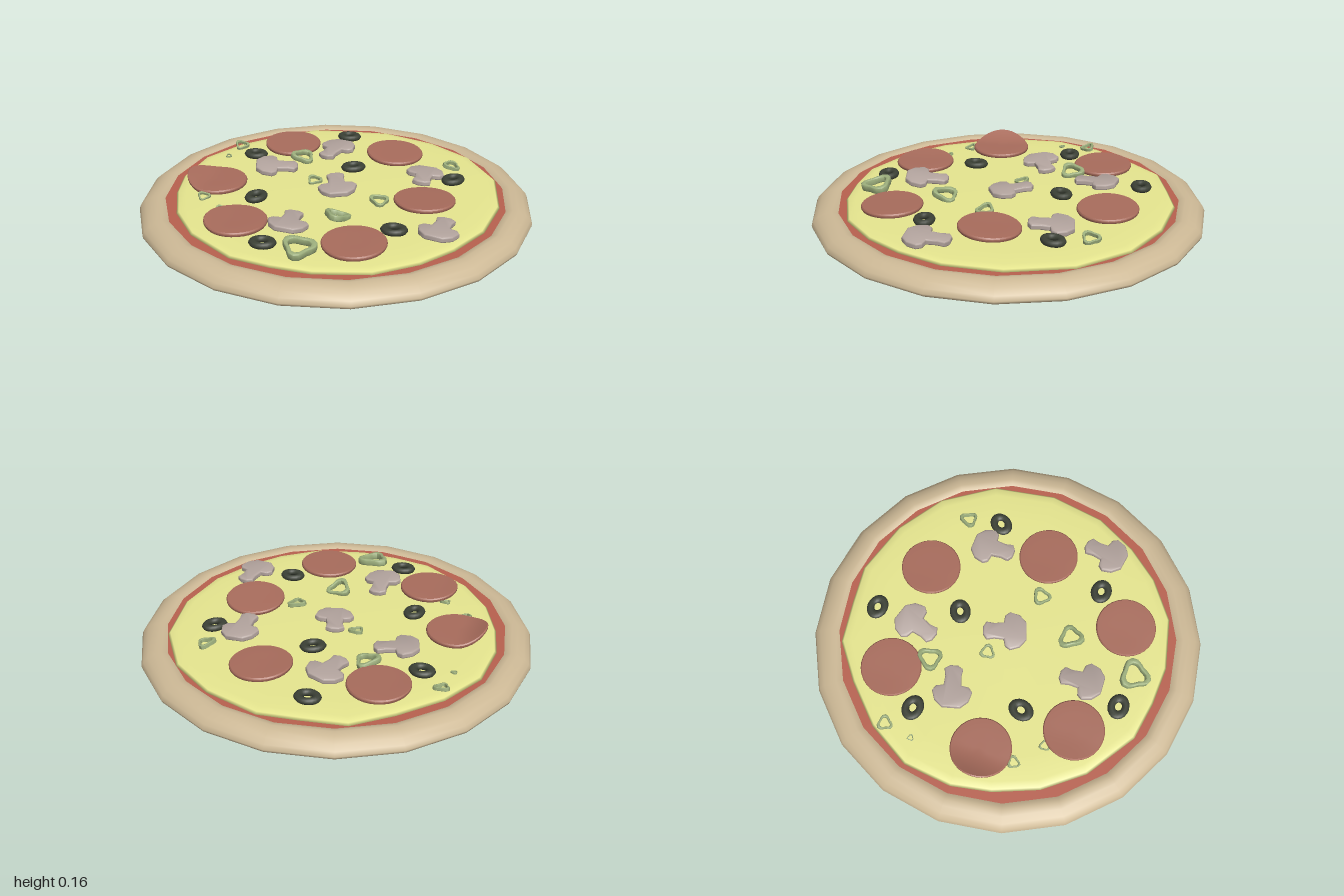
import * as THREE from 'three';
import { mergeVertices, toCreasedNormals } from 'three/addons/utils/BufferGeometryUtils.js';

const V = (x, y) => new THREE.Vector2(x, y);
const profile = (pairs) => pairs.map(([x, y]) => V(x, y));
const paint = (color) => new THREE.MeshStandardMaterial({ color, side: THREE.DoubleSide });

const MAT = {
  crust: paint(0xcdb996), sauce: paint(0xb8614f), cheese: paint(0xe6e68f), pepperoni: paint(0xa86c5c),
  olive: paint(0x3c4136), mushroom: paint(0xb3a49e), pepper: paint(0x9cae7c),
};

function add(parent, name, geometry, material) {
  const mesh = new THREE.Mesh(geometry, material);
  mesh.name = name;
  parent.add(mesh);
  return mesh;
}

// Smooth normals across seams after vertices have been moved
function smooth(geometry) {
  geometry.deleteAttribute('uv');
  geometry.deleteAttribute('normal');
  const merged = mergeVertices(geometry, 1e-4);
  merged.computeVertexNormals();
  return merged;
}

// Flat slice with bevelled edge, lying in the xz plane with shape y along +z
function slab(shape, depth, bevel, steps = 4) {
  const g = new THREE.ExtrudeGeometry(shape, {
    depth, bevelEnabled: true, bevelThickness: bevel, bevelSize: bevel,
    bevelOffset: -bevel, bevelSegments: 2, curveSegments: steps,
  });
  g.rotateX(Math.PI / 2).translate(0, depth / 2, 0);
  return toCreasedNormals(g, 0.8);
}

// Cheese sheet: a lathe whose rim follows an irregular outline
function cheeseGeometry() {
  const rim = [
    [0.1, 0.82], [0.36, 0.76], [0.55, 0.62], [0.68, 0.46], [0.79, 0.25], [0.835, -0.03], [0.78, -0.35],
    [0.61, -0.6], [0.38, -0.755], [0.1, -0.84], [-0.1, -0.82], [-0.32, -0.79], [-0.5, -0.65],
    [-0.68, -0.47], [-0.805, -0.25], [-0.83, 0], [-0.79, 0.2], [-0.7, 0.42], [-0.55, 0.61],
    [-0.3, 0.775], [-0.1, 0.81],
  ];
  const pts = profile([[0.97, 0.06], [1, 0.072], [0.985, 0.083], [0.94, 0.089], [0.8, 0.093], [0, 0.095]]);
  const g = new THREE.LatheGeometry(pts, rim.length);
  const p = g.attributes.position;
  for (let i = 0; i < p.count; i++) {
    const [x, z] = rim[Math.floor(i / pts.length) % rim.length];
    const t = pts[i % pts.length].x;
    p.setXYZ(i, x * t, p.getY(i), z * t);
  }
  return smooth(g);
}

// Thin round slice; curl lifts its -x edge
function pepperoniGeometry(curl) {
  const g = new THREE.LatheGeometry(profile([
    [0, 0], [0.08, 0], [0.12, 0], [0.149, 0], [0.153, 0.006], [0.153, 0.015], [0.148, 0.021],
    [0.12, 0.022], [0.08, 0.022], [0.04, 0.022], [0, 0.022]]), 32);
  const p = g.attributes.position;
  for (let i = 0; i < p.count; i++) {
    const lift = Math.max(0, -p.getX(i) - 0.02) / 0.133;
    p.setY(i, p.getY(i) + curl * lift * lift);
  }
  return toCreasedNormals(smooth(g), 0.7);
}

// Mushroom slice: angular cap at -z, stem pointing to +z
function mushroomGeometry() {
  const half = [[0.045, -0.105], [0.085, -0.07], [0.1, -0.02], [0.082, 0.005], [0.045, 0.012],
    [0.04, 0.06], [0.047, 0.1], [0.02, 0.118]];
  const outline = [...half, ...half.map(([x, z]) => [-x, z]).reverse()];
  return slab(new THREE.Shape(profile(outline)), 0.012, 0.009);
}

// Bell pepper ring: wavy three-lobed band
function pepperGeometry(r) {
  const loop = (scale) => {
    const pts = [];
    for (let i = 0; i < 18; i++) {
      const a = (i / 18) * Math.PI * 2;
      const d = r * scale * (0.86 + 0.16 * Math.cos(3 * a) + 0.06 * Math.cos(a + 1));
      pts.push(V(Math.cos(a) * d, Math.sin(a) * d));
    }
    return pts;
  };
  const shape = new THREE.Shape(loop(1));
  shape.holes.push(new THREE.Path(loop(0.68)));
  return slab(shape, r * 0.3, r * 0.06);
}

export function createModel() {
  const model = new THREE.Group();
  model.name = 'pizza';

  // Base: rolled crust, underside and sauce
  add(model, 'crust', new THREE.LatheGeometry(profile([
    [0.985, 0], [0.997, 0.008], [1, 0.02], [0.99, 0.042], [0.965, 0.064], [0.93, 0.079],
    [0.9, 0.083], [0.88, 0.08], [0.86, 0.07], [0.84, 0.055]]), 20), MAT.crust);
  add(model, 'crustUnderside', new THREE.CircleGeometry(0.985, 20).rotateX(Math.PI / 2), MAT.crust);
  add(model, 'sauce', new THREE.CircleGeometry(0.875, 20).rotateX(-Math.PI / 2).translate(0, 0.073, 0), MAT.sauce);
  add(model, 'cheese', cheeseGeometry(), MAT.cheese);

  // Pepperoni: x, z, height, curl, tilt about x, tilt about z
  const pepperoni = [
    [-0.37, -0.49, 0.1, 0.006, 0.02, 0], [0.21, -0.5, 0.1, 0.004, 0.02, -0.03],
    [-0.61, 0.08, 0.1, 0.045, 0, 0], [0.47, 0.06, 0.107, 0.004, -0.06, 0.02],
    [-0.37, 0.48, 0.098, 0.01, 0, 0], [0.23, 0.56, 0.1, 0.004, 0.02, 0.02],
  ];
  for (const [x, z, y, curl, rx, rz] of pepperoni) {
    const m = add(model, 'pepperoni', pepperoniGeometry(curl), MAT.pepperoni);
    m.position.set(x, y, z);
    m.rotation.set(rx, 0, rz);
  }

  // Olive rings: x, z, turn
  const oliveGeo = new THREE.TorusGeometry(0.042, 0.022, 8, 20).rotateX(Math.PI / 2).scale(1.04, 0.75, 0.84);
  const olives = [[-0.09, -0.68, 0], [-0.53, -0.31, -0.1], [0.03, -0.27, 0.5], [0.57, -0.24, 0.9],
    [-0.36, 0.2, 1.3], [0.38, 0.38, 0], [-0.18, 0.65, 0]];
  for (const [x, z, turn] of olives) {
    const m = add(model, 'oliveRing', oliveGeo, MAT.olive);
    m.position.set(x, 0.106, z);
    m.rotation.y = turn;
  }

  // Mushroom slices: x, z, height, direction of the stem in x and z, tilt
  const mushroomGeo = mushroomGeometry();
  const mushrooms = [
    [-0.115, -0.455, 0.117, -0.3, 1, 0.05], [0.42, -0.235, 0.115, 0, 1, -0.05],
    [-0.37, -0.16, 0.115, 1, -0.3, 0.06], [0.005, -0.01, 0.113, -0.35, -1, -0.05],
    [-0.115, 0.44, 0.115, -0.05, -1, 0.08], [0.59, 0.34, 0.112, 0.15, -1, 0.04],
  ];
  for (const [x, z, y, dx, dz, tilt] of mushrooms) {
    const m = add(model, 'mushroomSlice', mushroomGeo, MAT.mushroom);
    m.position.set(x, y, z);
    m.rotation.set(tilt, Math.atan2(dx, dz), tilt, 'YXZ');
  }

  // Bell pepper rings: x, z, radius, height, turn, tilt
  const peppers = [
    [0, 0.68, 0.085, 0.118, 0.5, 0.15], [0.09, 0.31, 0.07, 0.108, 2.6, 0.3], [-0.26, -0.32, 0.068, 0.112, 1.4, 0.22],
    [-0.13, -0.06, 0.042, 0.103, 0.2, 0.2], [0.25, 0.1, 0.052, 0.106, 0.8, 0.2],
    [0.54, -0.41, 0.05, 0.106, 1.6, 0.25], [-0.65, -0.41, 0.042, 0.103, 0.4, 0.25],
    [-0.62, 0.255, 0.035, 0.1, 0.5, 0.3], [-0.49, 0.37, 0.03, 0.098, 0.1, 0.3], [-0.675, -0.265, 0.018, 0.097, 0, 0.2],
  ];
  for (const [x, z, r, y, turn, tilt] of peppers) {
    const m = add(model, 'pepperRing', pepperGeometry(r), MAT.pepper);
    m.position.set(x, y, z);
    m.rotation.set(tilt, turn, 0, 'YXZ');
  }

  return model;
}
